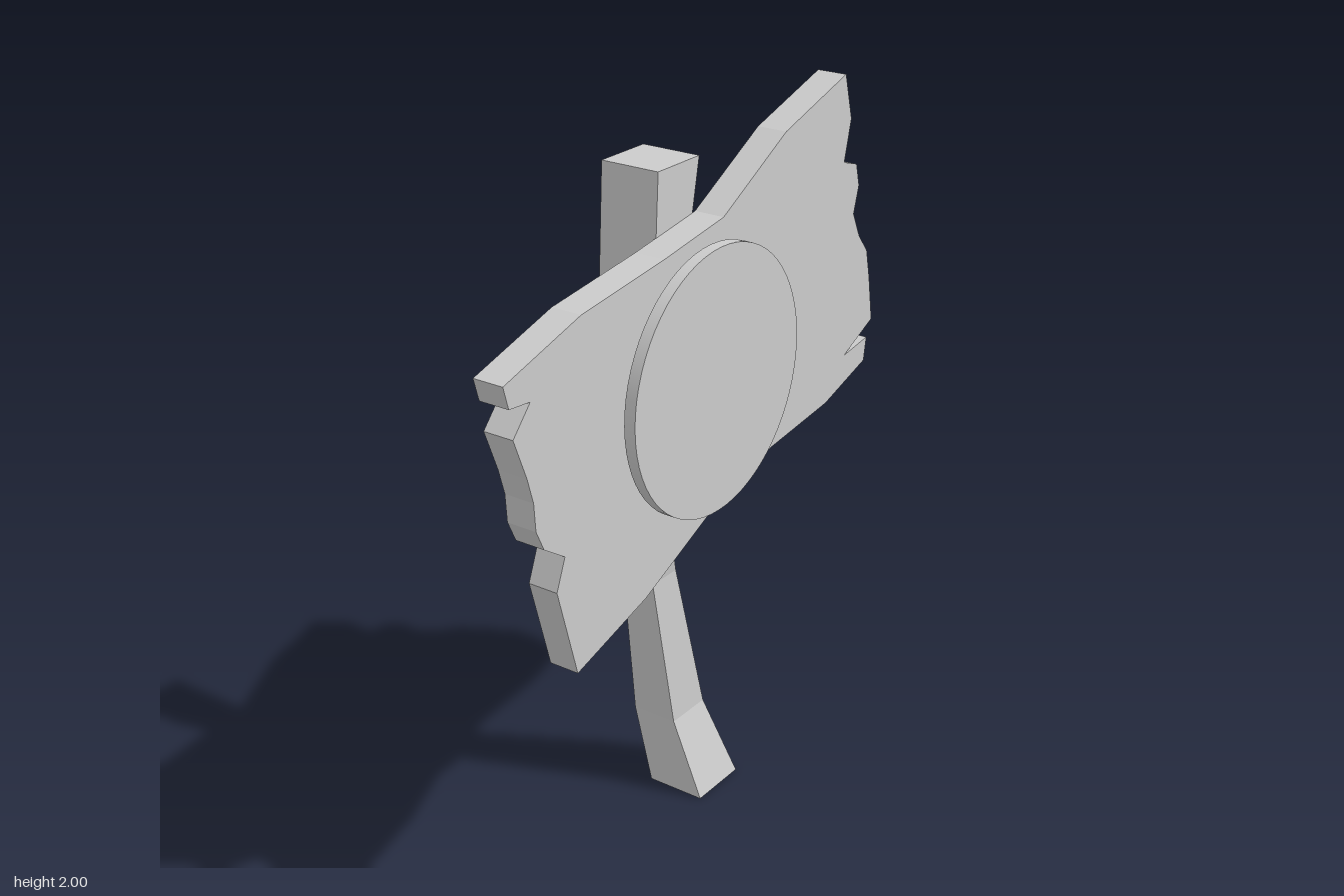
import * as THREE from 'three';

const flat = new THREE.MeshStandardMaterial({ color: 0xcccccc, flatShading: true });
const smooth = new THREE.MeshStandardMaterial({ color: 0xcccccc });

// Crooked post: square cross-sections [y, xLeft, xRight, zBack, zFront] from the ground up
const postSections = [
  [0, 0.085, 0.267, -0.128, 0.045],
  [0.24, 0.066, 0.21, -0.17, -0.035],
  [0.7, 0.003, 0.11, -0.16, -0.06],
  [0.91, -0.052, 0.035, -0.122, -0.03],
  [1.14, -0.058, 0.03, -0.082, 0.003],
  [1.54, -0.13, -0.012, -0.125, 0.044],
  [1.9, -0.11, 0.06, -0.125, 0.044],
];

function postGeometry() {
  const rings = postSections.map(([y, x0, x1, z0, z1]) => [
    [x0, y, z1], [x1, y, z1], [x1, y, z0], [x0, y, z0],
  ]);
  const pos = [];
  const quad = (a, b, c, d) => pos.push(...a, ...b, ...c, ...a, ...c, ...d);
  for (let k = 0; k < rings.length - 1; k++) {
    const lo = rings[k], hi = rings[k + 1];
    for (let i = 0; i < 4; i++) {
      const j = (i + 1) % 4;
      quad(lo[i], lo[j], hi[j], hi[i]);
    }
  }
  quad(...rings[rings.length - 1]);
  quad(...[...rings[0]].reverse());
  const geo = new THREE.BufferGeometry();
  geo.setAttribute('position', new THREE.Float32BufferAttribute(pos, 3));
  geo.computeVertexNormals();
  return geo;
}

// Board outline: wavy long edges, splintered ends
const boardOutline = [
  // top edge, left to right
  [-0.797, 1.605], [-0.52, 1.685], [-0.2, 1.725], [0.045, 1.763], [0.32, 1.913], [0.602, 2],
  // splintered right end
  [0.638, 1.875], [0.61, 1.763], [0.675, 1.743], [0.692, 1.68], [0.67, 1.605], [0.706, 1.532],
  [0.75, 1.48], [0.77, 1.395], [0.793, 1.265], [0.65, 1.2], [0.77, 1.217], [0.76, 1.15],
  // bottom edge, right to left
  [0.56, 1.088], [0.278, 1.055], [-0.003, 0.975], [-0.283, 0.85], [-0.562, 0.768],
  // splintered left end
  [-0.633, 1.022], [-0.6, 1.105], [-0.675, 1.155], [-0.702, 1.213], [-0.707, 1.288],
  [-0.727, 1.357], [-0.77, 1.468], [-0.707, 1.538], [-0.78, 1.545],
];

export function createModel() {
  const model = new THREE.Group();
  model.name = 'signpost';

  const post = new THREE.Mesh(postGeometry(), flat);
  post.name = 'post';

  const shape = new THREE.Shape(boardOutline.map(([x, y]) => new THREE.Vector2(x, y)));
  const board = new THREE.Mesh(
    new THREE.ExtrudeGeometry(shape, { depth: 0.085, bevelEnabled: false }), flat);
  board.name = 'board';
  board.position.z = 0.043;

  // Round plate floating just in front of the board
  const plate = new THREE.Mesh(new THREE.CylinderGeometry(0.355, 0.355, 0.032, 64), smooth);
  plate.name = 'roundPlate';
  plate.rotation.x = Math.PI / 2;
  plate.position.set(-0.023, 1.36, 0.154);

  model.add(post, board, plate);
  return model;
}
